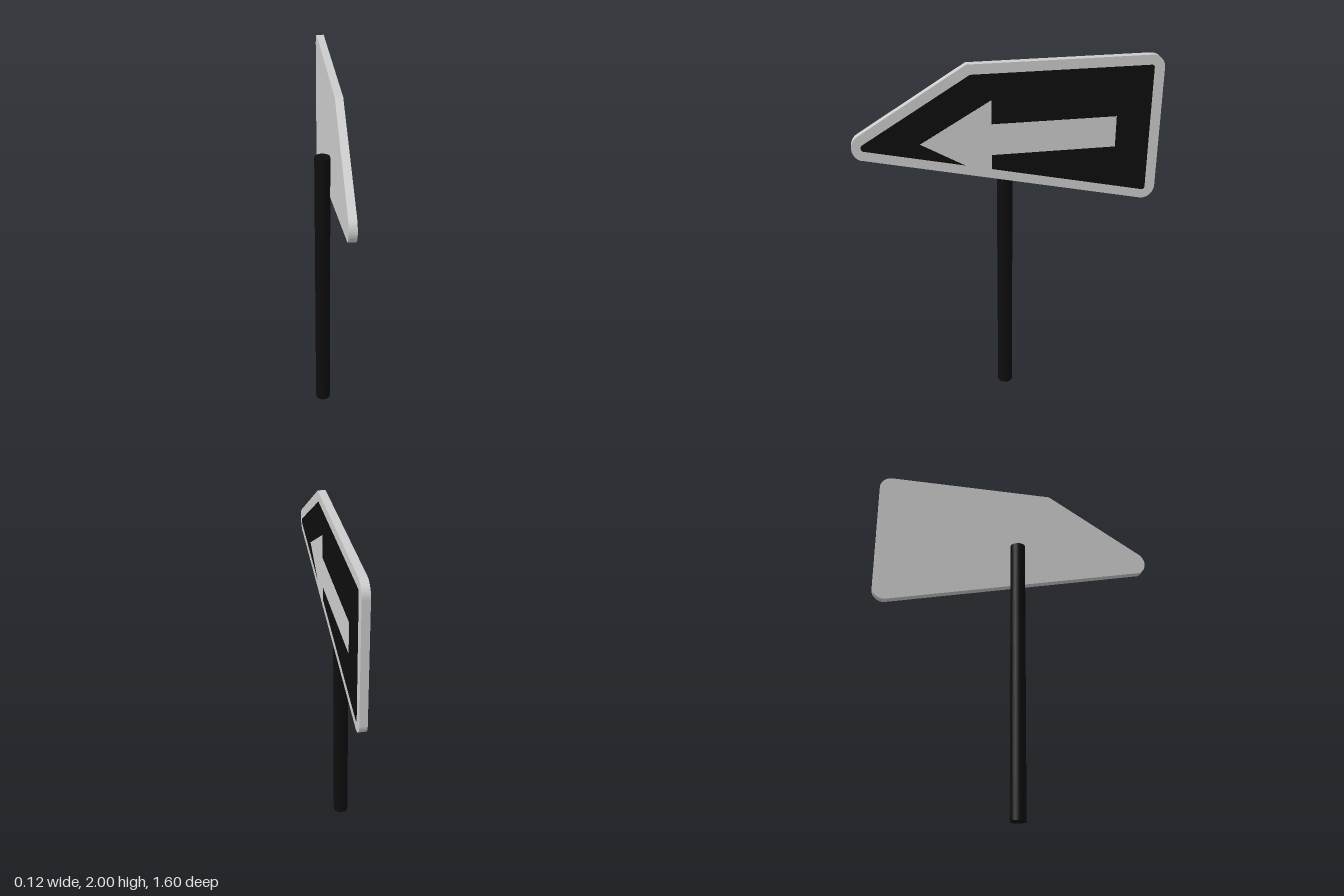
import * as THREE from 'three';

const white = new THREE.MeshStandardMaterial({ color: 0xcccccc });
white.name = 'light grey';
const black = new THREE.MeshStandardMaterial({ color: 0x0d0d0d });
black.name = 'black';

const MID = 1.6; // height of the sign's centre line
const FACE = 0.06; // x of the sign's printed face

// Extrudes a side profile (x = toward the back, y = up) along +x
function sidePlate(name, shape, x, depth, material) {
  const geometry = new THREE.ExtrudeGeometry(shape, { depth, bevelEnabled: false, curveSegments: 8 });
  geometry.rotateY(Math.PI / 2);
  geometry.translate(x, MID, 0);
  const mesh = new THREE.Mesh(geometry, material);
  mesh.name = name;
  return mesh;
}

// Pointed board with a rounded tip and rounded rear corners
function boardShape(tip, shoulder, back, half, tipRadius, cornerRadius, slope) {
  const a = Math.PI / 2 + slope;
  const s = new THREE.Shape();
  s.moveTo(shoulder, -half);
  s.absarc(back - cornerRadius, -half + cornerRadius, cornerRadius, -Math.PI / 2, 0, false);
  s.absarc(back - cornerRadius, half - cornerRadius, cornerRadius, 0, Math.PI / 2, false);
  s.lineTo(shoulder, half);
  s.absarc(tip + tipRadius, 0, tipRadius, a, 2 * Math.PI - a, false);
  s.closePath();
  return s;
}

export function createModel() {
  const group = new THREE.Group();
  group.name = 'arrowSign';

  // Round post behind the board
  const post = new THREE.Mesh(new THREE.CylinderGeometry(0.042, 0.042, 1.6, 32), black);
  post.name = 'post';
  post.position.set(-0.02, 0.8, 0.012);
  group.add(post);

  // Board with its pale border
  group.add(sidePlate('board', boardShape(-0.8, -0.215, 0.8, 0.4, 0.075, 0.07, 0.551), 0.02, FACE - 0.02, white));

  // Dark printed field
  group.add(sidePlate('darkField', boardShape(-0.753, -0.197, 0.745, 0.348, 0.02, 0.015, 0.551), FACE, 0.001, black));

  // Arrow, mirrored about the centre line
  const half = [[-0.458, 0], [-0.092, 0.212], [-0.092, 0.084], [0.562, 0.084]];
  const outline = [...half, ...half.slice(1).reverse().map(([u, v]) => [u, -v])];
  const arrow = new THREE.Shape(outline.map(([u, v]) => new THREE.Vector2(u, v)));
  group.add(sidePlate('arrow', arrow, FACE + 0.001, 0.001, white));

  return group;
}
